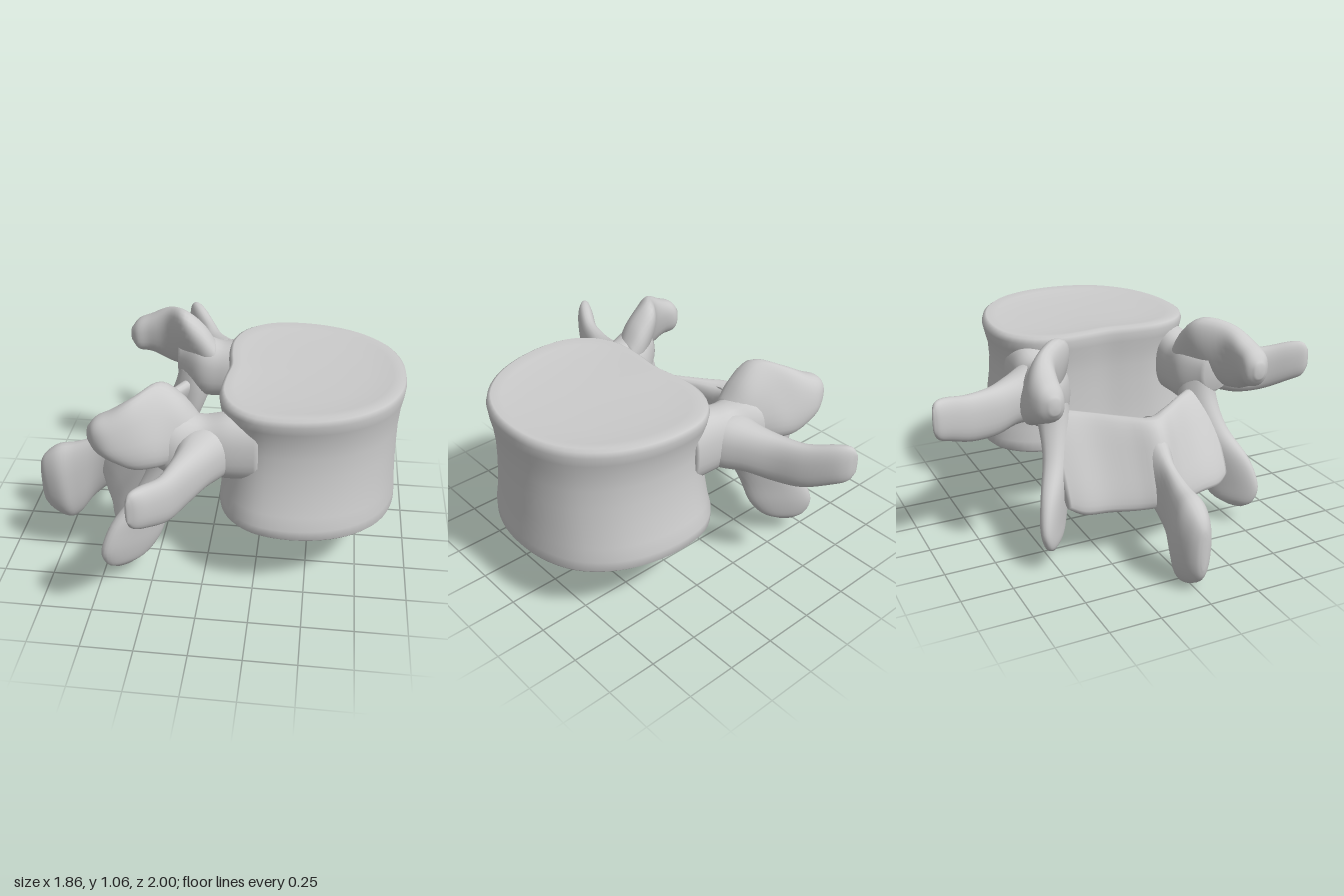
import * as THREE from 'three';

const material = new THREE.MeshStandardMaterial({ color: 0xcccccc, roughness: 0.8 });

// Closed smooth skin over a stack of rings (arrays of Vector3), capped at both ends
function skin(rings) {
  const n = rings[0].length, pos = [], idx = [];
  rings.forEach(r => r.forEach(p => pos.push(p.x, p.y, p.z)));
  for (let i = 0; i < rings.length - 1; i++) {
    for (let j = 0; j < n; j++) {
      const a = i * n + j, b = i * n + (j + 1) % n;
      idx.push(a, b, a + n, b, b + n, a + n);
    }
  }
  const last = (rings.length - 1) * n;
  [0, last].forEach(start => {
    const c = new THREE.Vector3();
    for (let j = 0; j < n; j++) c.add(rings[start / n][j]);
    c.divideScalar(n);
    const k = pos.length / 3;
    pos.push(c.x, c.y, c.z);
    for (let j = 0; j < n; j++) {
      const a = start + j, b = start + (j + 1) % n;
      if (start === 0) idx.push(k, b, a); else idx.push(k, a, b);
    }
  });
  // Turn the faces outward if the signed volume is negative
  const v = i => new THREE.Vector3().fromArray(pos, i * 3);
  let volume = 0;
  for (let i = 0; i < idx.length; i += 3) volume += v(idx[i]).dot(v(idx[i + 1]).cross(v(idx[i + 2])));
  if (volume < 0) idx.reverse();
  const g = new THREE.BufferGeometry();
  g.setAttribute('position', new THREE.Float32BufferAttribute(pos, 3));
  g.setIndex(idx);
  g.computeVertexNormals();
  return g;
}

// Loft of oval sections: each station is [centre, half axis u, half axis v]
function loft(stations, mirror = 1, power = 0.85, steps = 28, sides = 28) {
  const curves = [0, 1, 2].map(k => new THREE.CatmullRomCurve3(
    stations.map(s => new THREE.Vector3(s[k][0], s[k][1], s[k][2] * mirror)), false, 'catmullrom', 0.5));
  const round = (t) => Math.sign(t) * Math.pow(Math.abs(t), power);
  const rings = [];
  for (let i = 0; i <= steps; i++) {
    const [c, u, v] = curves.map(curve => curve.getPoint(i / steps));
    const ring = [];
    for (let j = 0; j < sides; j++) {
      const a = j / sides * Math.PI * 2;
      ring.push(c.clone().addScaledVector(u, round(Math.cos(a))).addScaledVector(v, round(Math.sin(a))));
    }
    rings.push(ring);
  }
  return skin(rings);
}

// Kidney-shaped drum with a flared rim and a waist
function bodyGeometry() {
  const half = [[0.93, 0], [0.91, 0.16], [0.84, 0.31], [0.71, 0.43], [0.55, 0.5], [0.37, 0.525],
    [0.22, 0.5], [0.11, 0.41], [0.06, 0.28], [0.06, 0.14]];
  const outline = [...half, [0.075, 0], ...half.slice(1).reverse().map(([x, z]) => [x, -z])];
  const points = new THREE.CatmullRomCurve3(
    outline.map(([x, z]) => new THREE.Vector3(x, 0, z)), true).getPoints(72).slice(0, -1);
  // height fraction, x scale, z scale
  const rows = [[0.04, 0.2, 0.2], [0.03, 0.6, 0.6], [0.005, 0.9, 0.96], [0, 0.96, 1.03], [0.025, 0.985, 1.065],
    [0.1, 0.98, 1.07], [0.2, 0.965, 1.03], [0.35, 0.955, 0.985], [0.5, 0.95, 0.955], [0.65, 0.95, 0.94],
    [0.78, 0.965, 0.95], [0.87, 0.99, 0.98], [0.94, 1, 1], [0.98, 0.985, 0.985], [0.997, 0.95, 0.95],
    [0.985, 0.85, 0.85], [0.97, 0.6, 0.6], [0.965, 0.2, 0.2]];
  return skin(rows.map(([f, sx, sz]) => points.map(p => {
    const x = 0.49 + (p.x - 0.49) * sx;
    const low = 0.375 - 0.07 * x, high = 0.98 + 0.012 * x;
    return new THREE.Vector3(x, low + (high - low) * f, p.z * sz);
  })));
}

// Parts that occur on both sides, given for +z
const paired = {
  pedicle: [
    [[0.26, 0.76, 0.38], [0, 0.17, 0], [0, 0, 0.11]],
    [[0.12, 0.76, 0.39], [0, 0.165, 0], [0, 0, 0.11]],
    [[0, 0.75, 0.39], [0, 0.15, 0], [0, 0, 0.11]],
    [[-0.12, 0.76, 0.41], [0, 0.16, 0], [0, 0, 0.12]],
    [[-0.24, 0.78, 0.45], [0, 0.09, 0], [0, 0, 0.07]]],
  transverseProcess: [
    [[0.03, 0.74, 0.36], [0.14, 0, 0], [0, 0.13, 0]],
    [[0.01, 0.74, 0.46], [0.13, 0, 0], [0, 0.135, 0]],
    [[-0.03, 0.73, 0.56], [0.09, 0, 0.01], [0, 0.12, 0]],
    [[-0.08, 0.71, 0.67], [0.06, 0, 0.02], [0, 0.12, 0]],
    [[-0.125, 0.715, 0.8], [0.045, 0, 0.02], [0, 0.115, 0]],
    [[-0.19, 0.755, 0.92], [0.04, 0, 0.02], [0, 0.105, 0]],
    [[-0.225, 0.77, 0.975], [0.03, 0, 0.01], [0, 0.09, 0]],
    [[-0.24, 0.775, 0.998], [0.008, 0, 0], [0, 0.05, 0]]],
  superiorArticularProcess: [
    [[-0.02, 0.78, 0.38], [0, 0.1, -0.02], [0, 0, 0.07]],
    [[-0.1, 0.84, 0.4], [0, 0.15, -0.04], [0, 0.02, 0.09]],
    [[-0.2, 0.88, 0.45], [0, 0.18, -0.08], [0, 0.03, 0.085]],
    [[-0.3, 0.87, 0.52], [0, 0.165, -0.045], [0, 0.02, 0.07]],
    [[-0.4, 0.865, 0.54], [0, 0.115, -0.02], [0, 0, 0.075]],
    [[-0.47, 0.86, 0.53], [0, 0.085, 0], [0, 0, 0.065]],
    [[-0.51, 0.86, 0.525], [0, 0.035, 0], [0, 0, 0.025]]],
  inferiorArticularProcess: [
    [[-0.13, 0.76, 0.4], [-0.08, 0, 0.05], [0.05, 0, 0.06]],
    [[-0.16, 0.64, 0.39], [-0.08, 0, 0.06], [0.05, 0, 0.06]],
    [[-0.22, 0.5, 0.4], [-0.09, 0, 0.08], [0.045, 0, 0.045]],
    [[-0.3, 0.36, 0.45], [-0.12, 0, 0.1], [0.04, 0, 0.035]],
    [[-0.345, 0.23, 0.48], [-0.125, 0, 0.1], [0.035, 0, 0.03]],
    [[-0.37, 0.14, 0.49], [-0.09, 0, 0.07], [0.025, 0, 0.025]],
    [[-0.385, 0.1, 0.5], [-0.035, 0, 0.025], [0.008, 0, 0.01]]]
};

// Sloping arch behind the canal, running from one side to the other
const archHalf = [
  [[-0.465, 0.475, 0], [-0.08, -0.2, 0], [0.085, -0.03, 0]],
  [[-0.42, 0.475, 0.12], [-0.1, -0.205, 0], [0.06, -0.02, 0]],
  [[-0.345, 0.475, 0.25], [-0.125, -0.21, 0], [0.05, -0.02, 0]],
  [[-0.295, 0.475, 0.36], [-0.14, -0.215, 0], [0.05, -0.02, 0]],
  [[-0.28, 0.48, 0.43], [-0.12, -0.19, 0], [0.03, -0.01, 0]]];
const arch = [
  ...archHalf.slice(1).reverse().map(s => s.map(([x, y, z]) => [x, y, -z])), ...archHalf];

// Deep, thin blade dropping backwards to a swollen tip
const spine = [
  [[-0.4, 0.5, 0], [0.04, 0.17, 0], [0, 0, 0.12]],
  [[-0.5, 0.44, 0], [0.04, 0.195, 0], [0, 0, 0.075]],
  [[-0.61, 0.34, 0], [0.03, 0.19, 0], [0, 0, 0.05]],
  [[-0.72, 0.255, 0], [0, 0.215, 0], [0, 0, 0.07]],
  [[-0.8, 0.225, 0], [-0.02, 0.222, 0], [0, 0, 0.088]],
  [[-0.875, 0.215, 0], [-0.015, 0.18, 0], [0, 0, 0.065]],
  [[-0.915, 0.215, 0], [-0.005, 0.13, 0], [0, 0, 0.035]],
  [[-0.927, 0.22, 0], [0, 0.08, 0], [0, 0, 0.01]]];

export function createModel() {
  const group = new THREE.Group();
  group.name = 'vertebra';
  const add = (name, geometry) => {
    const mesh = new THREE.Mesh(geometry, material);
    mesh.name = name;
    group.add(mesh);
  };
  add('vertebralBody', bodyGeometry());
  add('lamina', loft(arch, 1, 0.75, 40));
  add('spinousProcess', loft(spine));
  for (const [name, stations] of Object.entries(paired)) {
    add(name + 'Left', loft(stations, -1));
    add(name + 'Right', loft(stations, 1));
  }
  return group;
}
